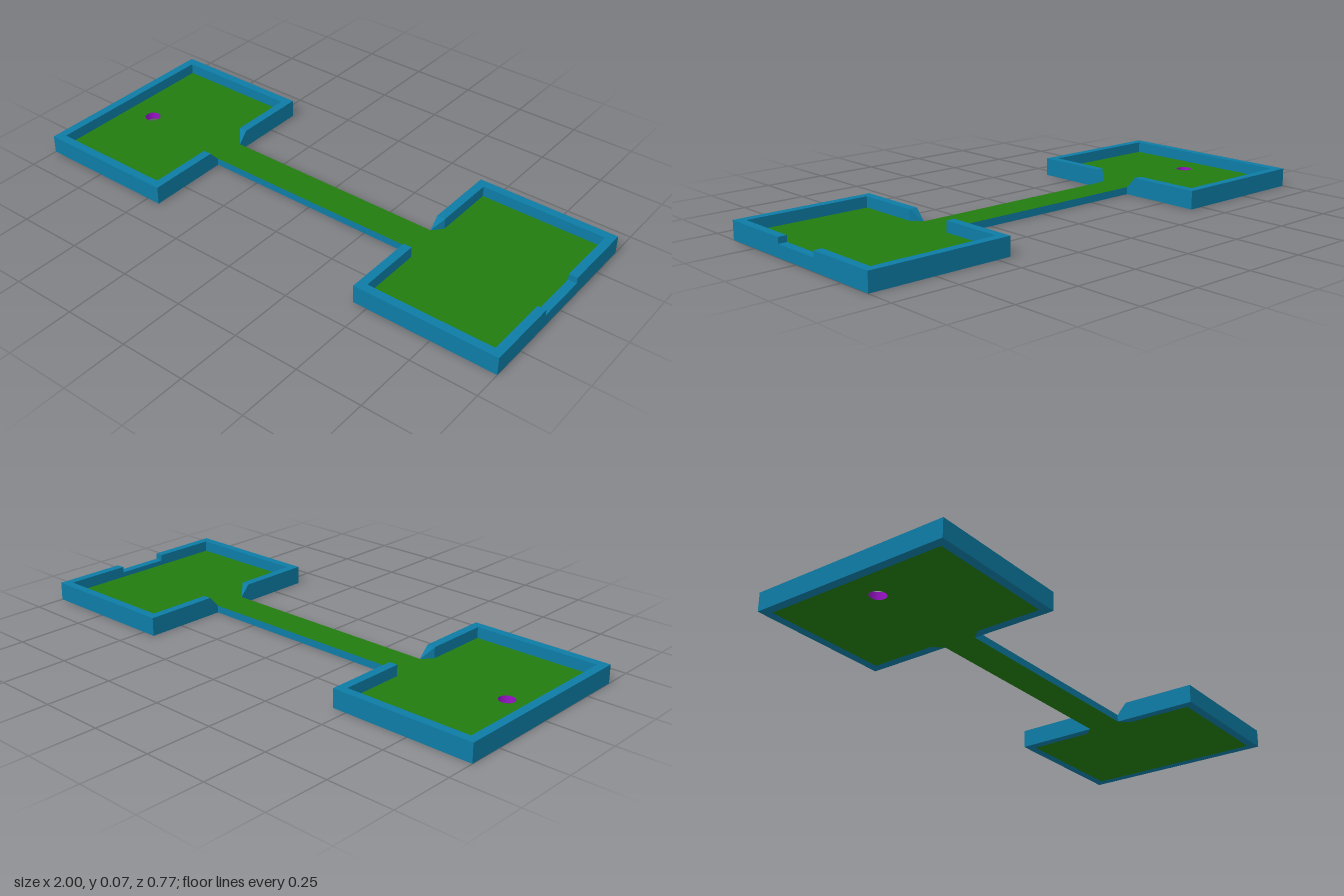
import * as THREE from 'three';
import { ConvexGeometry } from 'three/addons/geometries/ConvexGeometry.js';

const END = 1, INNER = 0.445, DEPTH = 0.387, WALL = 0.033; // platform plan
const GAP = 0.102, LANE = 0.064;                           // opening and lane half widths
const FLOOR = 0.028, NOTCH = 0.047, TOP = 0.07;            // heights
const CUP_X = -0.853, CUP_R = 0.03;

const material = (name, color) => {
  const m = new THREE.MeshStandardMaterial({ color });
  m.name = name;
  return m;
};

// Upright prism over a plan outline of [x, z] points
function slab(points, y0, y1, hole) {
  const shape = new THREE.Shape(points.map(([x, z]) => new THREE.Vector2(x, -z)));
  if (hole) shape.holes.push(hole);
  const geo = new THREE.ExtrudeGeometry(shape, { depth: y1 - y0, bevelEnabled: false, curveSegments: 10 });
  return geo.rotateX(-Math.PI / 2).translate(0, y0, 0);
}

export function createModel() {
  const blue = material('blueWall', 0x0d7ca5);
  const green = material('greenTurf', 0x227c0e);
  const purple = material('purpleCup', 0x9a14c8);
  const model = new THREE.Group();
  model.name = 'puttingCourse';

  const add = (parent, name, geo, mat) => {
    const mesh = new THREE.Mesh(geo, mat);
    mesh.name = name;
    parent.add(mesh);
    return mesh;
  };

  // Turf: two greens joined by a lane that flares at both ends
  const xi = INNER + WALL, xo = END - WALL, zi = DEPTH - WALL;
  const quarter = [[INNER, LANE], [xi, GAP], [xi, zi], [xo, zi]];
  const flip = (pts, sx, sz) => pts.map(([x, z]) => [x * sx, z * sz]);
  const outline = [
    ...quarter,
    ...flip(quarter, 1, -1).reverse(),
    ...flip(quarter, -1, -1),
    ...flip(quarter, -1, 1).reverse(),
  ];
  const hole = new THREE.Path().absarc(CUP_X, 0, CUP_R, 0, Math.PI * 2, true);
  add(model, 'turf', slab(outline, 0, FLOOR, hole), [green, blue]);

  // Lining of the cup
  const liner = new THREE.CylinderGeometry(CUP_R - 0.0005, CUP_R - 0.0005, FLOOR, 20, 1, true);
  purple.side = THREE.DoubleSide;
  add(model, 'cup', liner, purple).position.set(CUP_X, FLOOR / 2, 0);

  // Half of a C-shaped wall, from the lane opening round to the far end
  const outer = [[INNER, GAP], [INNER, DEPTH], [END, DEPTH]];
  const inner = [[xo, zi], [xi, zi], [xi, GAP]];
  const fullWall = [
    ...outer, ...flip(outer, 1, -1).reverse(),
    ...flip(inner, 1, -1).reverse(), ...inner,
  ];
  // The C runs out along the outer edge and back along the inner edge
  const halfWall = [...outer, [END, GAP], [xo, GAP], ...inner];

  for (const side of [1, -1]) {
    const walls = new THREE.Group();
    walls.name = side > 0 ? 'leftWalls' : 'rightWalls';
    walls.rotation.y = side > 0 ? 0 : Math.PI;
    model.add(walls);

    if (side > 0) {
      // Low wall with raised halves leaves the notch in the end
      add(walls, 'lowerWall', slab(fullWall, 0, NOTCH), blue);
      for (const s of [1, -1]) add(walls, 'upperWall', slab(flip(halfWall, 1, s), NOTCH, TOP), blue);
    } else {
      add(walls, 'wall', slab(fullWall, 0, TOP), blue);
    }

    // Sloped wall ends beside the lane
    for (const s of [1, -1]) {
      const corners = [
        [xi, 0, GAP], [INNER, 0, GAP], [INNER, 0, LANE],
        [INNER, FLOOR, LANE], [xi, TOP, GAP], [INNER, TOP, GAP],
      ].map(([x, y, z]) => new THREE.Vector3(x, y, z * s));
      add(walls, 'wallEnd', new ConvexGeometry(corners), blue);
    }
  }
  return model;
}
